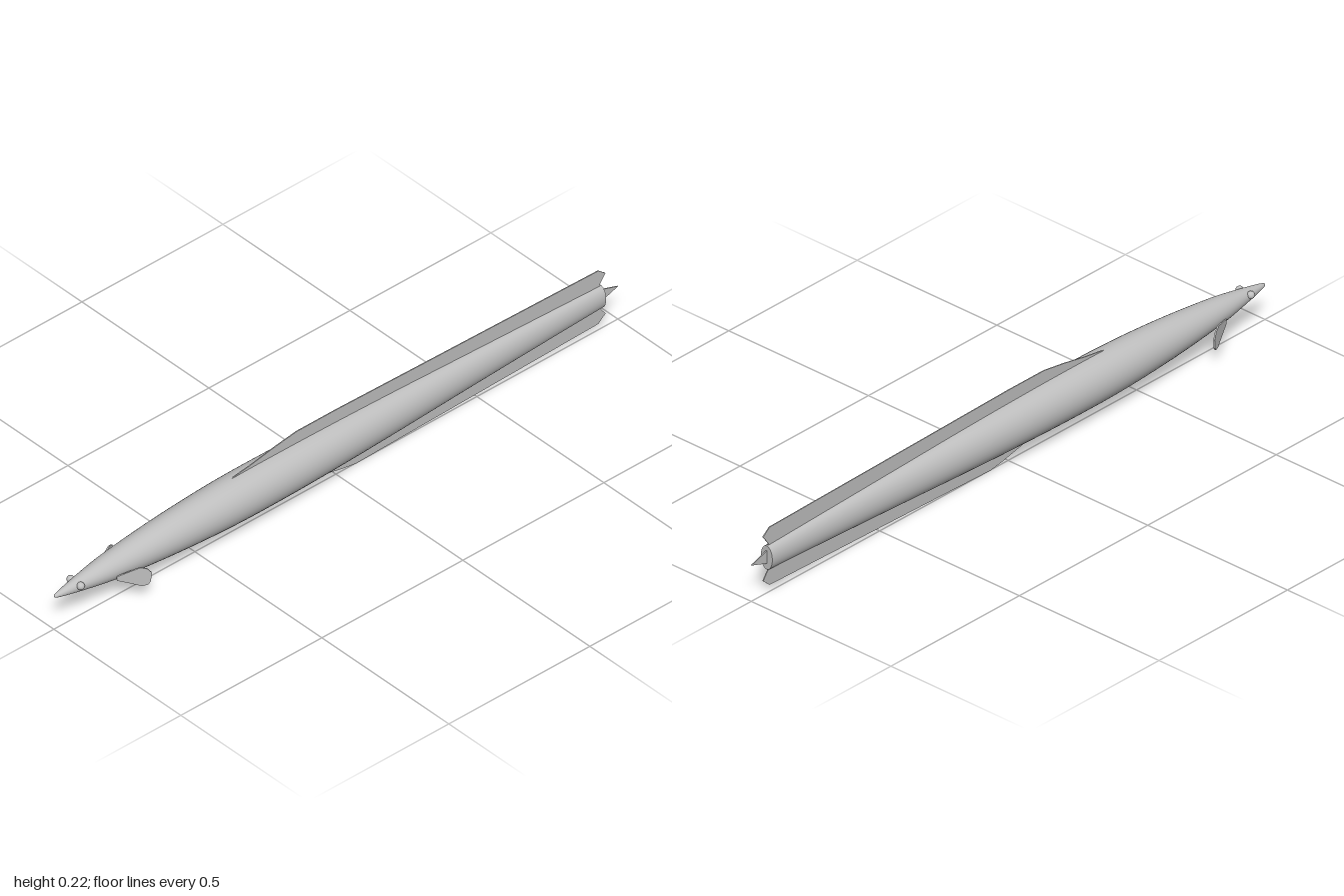
import * as THREE from 'three';
import { mergeVertices } from 'three/addons/utils/BufferGeometryUtils.js';

const AXIS = 0.108; // height of the body's centre line
const grey = new THREE.MeshStandardMaterial({ color: 0xc0c0c0 });
grey.name = 'fish grey';

function add(group, name, geometry) {
  const mesh = new THREE.Mesh(geometry, grey);
  mesh.name = name;
  group.add(mesh);
  return mesh;
}

// Thin plate cut from an outline, centred on its own plane
function plate(points, thickness) {
  const shape = new THREE.Shape(points.map(([x, y]) => new THREE.Vector2(x, y)));
  const geometry = new THREE.ExtrudeGeometry(shape, { depth: thickness, bevelEnabled: false });
  return geometry.translate(0, 0, -thickness / 2);
}

// Upright plate on the centre plane; points are [z, y]
function centrePlate(points) {
  return plate(points, 0.003).rotateY(-Math.PI / 2);
}

// Body narrows sideways towards the tail
function widthRatio(z) {
  return THREE.MathUtils.lerp(0.56, 0.92, THREE.MathUtils.smoothstep(z, -1.1, 0.45))
    + 0.08 * THREE.MathUtils.smoothstep(z, 0.5, 0.9);
}

function bodyGeometry() {
  // [half height, z] from tail to snout
  const profile = [
    [0.036, -0.94], [0.041, -0.8], [0.048, -0.6], [0.055, -0.4], [0.062, -0.2],
    [0.067, 0], [0.0695, 0.2], [0.068, 0.4], [0.058, 0.6], [0.039, 0.8],
    [0.024, 0.9], [0.011, 0.97], [0.005, 0.994], [0.0001, 1],
  ].map(([r, z]) => new THREE.Vector2(r, z));
  const points = new THREE.SplineCurve(profile).getPoints(60);
  let geometry = new THREE.LatheGeometry(points, 40).rotateX(Math.PI / 2);
  const p = geometry.attributes.position;
  for (let i = 0; i < p.count; i++) p.setX(i, p.getX(i) * widthRatio(p.getZ(i)));
  // Weld the seam so the shading is continuous
  geometry.deleteAttribute('uv');
  geometry.deleteAttribute('normal');
  geometry = mergeVertices(geometry);
  geometry.computeVertexNormals();
  return geometry;
}

export function createModel() {
  const fish = new THREE.Group();
  fish.name = 'long fish';

  add(fish, 'body', bodyGeometry()).position.y = AXIS;

  // Blunt rear end and pointed tail
  const end = add(fish, 'rearCap', new THREE.CircleGeometry(0.036, 40).rotateY(Math.PI));
  end.scale.x = widthRatio(-0.94);
  end.position.set(0, AXIS, -0.94);
  add(fish, 'tailPoint', centrePlate([[-0.93, 0.133], [-0.93, 0.087], [-1, 0.11]]));

  // Long fins along the back and the belly
  add(fish, 'dorsalFin', centrePlate([
    [0.37, 0.178], [0.3, 0.188], [0.22, 0.203], [0.14, 0.215], [0, 0.215], [-0.3, 0.209],
    [-0.93, 0.197], [-0.955, 0.177], [-0.935, 0.15], [-0.935, 0.12], [0.3, 0.12],
  ]));
  add(fish, 'bellyFin', centrePlate([
    [0.12, 0.039], [0.06, 0.026], [-0.02, 0.008], [-0.07, 0], [-0.3, 0.006],
    [-0.93, 0.021], [-0.955, 0.043], [-0.935, 0.07], [-0.935, 0.1], [0.1, 0.1],
  ]));

  // Side fins swept back, and eyes
  const sideFin = plate([
    [-0.01, 0.098], [0.03, 0.107], [0.055, 0.112], [0.074, 0.104], [0.087, 0.088],
    [0.084, 0.06], [0.076, 0.051], [0.06, 0.05], [0.045, 0.058], [-0.01, 0.085],
  ], 0.004);
  const eye = new THREE.SphereGeometry(0.011, 20, 14);
  for (const [side, s] of [['left', 1], ['right', -1]]) {
    const fin = add(fish, side + 'SideFin', sideFin);
    fin.position.set(s * 0.04, 0, 0.8);
    fin.rotation.y = s > 0 ? 1.159 : Math.PI - 1.159;
    add(fish, side + 'Eye', eye).position.set(s * 0.02, 0.116, 0.923);
  }
  return fish;
}
